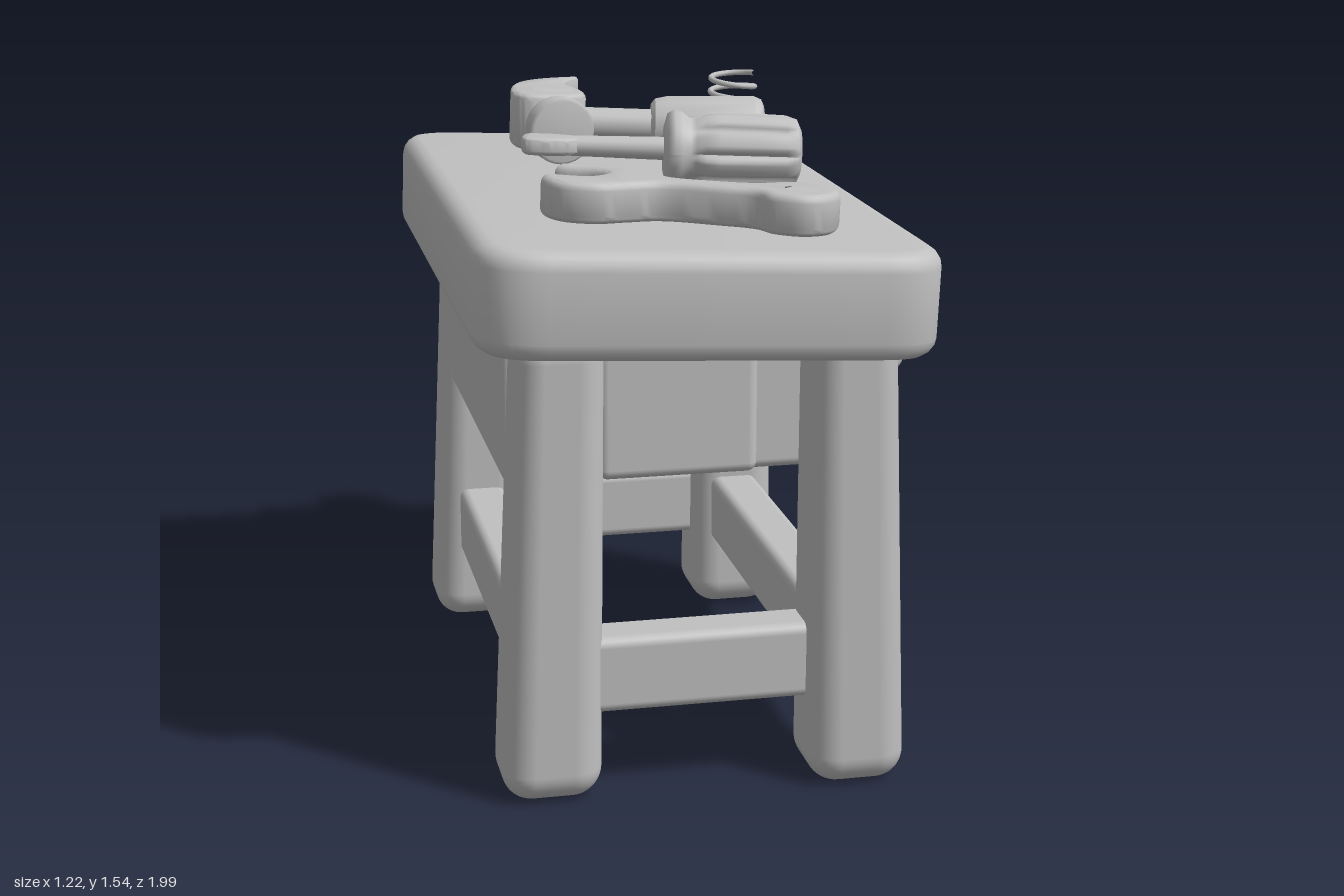
import * as THREE from 'three';
import { mergeVertices, toCreasedNormals } from 'three/addons/utils/BufferGeometryUtils.js';
import { RoundedBoxGeometry } from 'three/addons/geometries/RoundedBoxGeometry.js';

const clay = new THREE.MeshStandardMaterial({ color: 0xc0c0c0 });
clay.name = 'clay grey';

function add(parent, name, geo, x = 0, y = 0, z = 0) {
  const mesh = new THREE.Mesh(geo, clay);
  mesh.name = name;
  mesh.position.set(x, y, z);
  parent.add(mesh);
  return mesh;
}

// Rounded box given by its limits
function box(parent, name, [x0, x1], [y0, y1], [z0, z1], r = 0.025) {
  const geo = new RoundedBoxGeometry(x1 - x0, y1 - y0, z1 - z0, 4, r);
  return add(parent, name, geo, (x0 + x1) / 2, (y0 + y1) / 2, (z0 + z1) / 2);
}

// Flat part cut from a plan outline (x, -z), standing on y = 0 with rounded edges
function plate(shape, height, bevel, curveSegments = 10) {
  const geo = new THREE.ExtrudeGeometry(shape, {
    depth: height - 2 * bevel, bevelThickness: bevel, bevelSize: bevel,
    bevelOffset: -bevel, bevelSegments: 4, curveSegments,
  });
  geo.translate(0, 0, bevel).rotateX(-Math.PI / 2);
  geo.deleteAttribute('uv');
  geo.deleteAttribute('normal');
  return toCreasedNormals(mergeVertices(geo, 1e-4), 0.7);
}

// Smooth closed outline through plan points [x, z]
function outline(points, samples) {
  const curve = new THREE.CatmullRomCurve3(
    points.map(([x, z]) => new THREE.Vector3(x, -z, 0)), true, 'centripetal');
  const pts = curve.getPoints(samples).slice(0, -1).map(p => new THREE.Vector2(p.x, p.y));
  return new THREE.Shape(pts);
}

// Turned part along +x; profile is [radius, x]
function turned(profile, segments = 28) {
  const geo = new THREE.LatheGeometry(profile.map(([r, x]) => new THREE.Vector2(r, x)), segments);
  geo.rotateZ(-Math.PI / 2);
  return geo;
}

function addLeg(parent, name, [bx, bz], [tx, tz]) {
  const h = 1.16;
  const geo = new RoundedBoxGeometry(0.245, h, 0.25, 6, 0.075);
  const p = geo.attributes.position;
  for (let i = 0; i < p.count; i++) {
    const t = p.getY(i) / h + 0.5;
    const s = 1 - 0.16 * t;
    p.setX(i, p.getX(i) * s + bx + (tx - bx) * t);
    p.setZ(i, p.getZ(i) * s + bz + (tz - bz) * t);
  }
  add(parent, name, geo, 0, h / 2 + 0.01, 0);
}

function buildTabletop(parent) {
  const corners = [[-0.605, 0.95], [0.49, 0.995], [0.49, -0.75], [-0.6, -0.775]]
    .map(([x, z]) => new THREE.Vector2(x, -z));
  const shape = new THREE.Shape();
  corners.forEach((c, i) => {
    const prev = corners[(i + 3) % 4], next = corners[(i + 1) % 4];
    const a = c.clone().add(prev.clone().sub(c).setLength(0.16));
    const b = c.clone().add(next.clone().sub(c).setLength(0.16));
    if (i) shape.lineTo(a.x, a.y); else shape.moveTo(a.x, a.y);
    shape.quadraticCurveTo(c.x, c.y, b.x, b.y);
  });
  shape.closePath();
  add(parent, 'tabletop', plate(shape, 0.255, 0.045), 0, -0.255, 0);
}

function buildWrench(parent) {
  const shape = outline([
    [-0.34, 0.37], [-0.26, 0.335], [-0.16, 0.37], [-0.11, 0.45], [-0.085, 0.53], [0.0, 0.575],
    [0.1, 0.605], [0.19, 0.59], [0.265, 0.635], [0.285, 0.71], [0.245, 0.775], [0.175, 0.795],
    [0.105, 0.755], [0.08, 0.7], [0.0, 0.655], [-0.12, 0.605], [-0.2, 0.62], [-0.285, 0.64],
    [-0.365, 0.61], [-0.4, 0.53], [-0.385, 0.49], [-0.29, 0.52], [-0.235, 0.475], [-0.255, 0.42],
  ], 110);
  const hole = new THREE.Path();
  hole.absarc(0.18, -0.69, 0.046, 0, Math.PI * 2, true);
  shape.holes.push(hole);
  add(parent, 'wrench', plate(shape, 0.1, 0.02));
}

function buildScrewdriver(parent) {
  const tool = new THREE.Group();
  tool.name = 'screwdriver';
  tool.position.set(0, 0.1, 0.137);
  tool.rotation.y = -0.155;
  parent.add(tool);
  const grip = turned([[0, -0.02], [0.06, -0.02], [0.09, -0.012], [0.1, 0.005], [0.095, 0.025],
    [0.08, 0.045], [0.082, 0.06], [0.095, 0.085], [0.098, 0.12], [0.096, 0.22], [0.094, 0.29],
    [0.085, 0.318], [0.06, 0.33], [0, 0.332]], 72);
  // Lengthwise grooves in the grip
  const p = grip.attributes.position;
  for (let i = 0; i < p.count; i++) {
    if (p.getX(i) < 0.075 || p.getX(i) > 0.3) continue;
    const a = Math.atan2(p.getZ(i), p.getY(i));
    const s = 1 - 0.17 * Math.pow(Math.max(0, Math.cos(a * 8)), 3);
    p.setY(i, p.getY(i) * s);
    p.setZ(i, p.getZ(i) * s);
  }
  grip.computeVertexNormals();
  add(tool, 'screwdriver grip', grip);
  add(tool, 'screwdriver shaft', turned([[0.026, -0.27], [0.03, -0.01]], 20));
  const blade = outline([[-0.375, -0.038], [-0.375, 0.038], [-0.33, 0.05], [-0.285, 0.045],
    [-0.24, 0.024], [-0.24, -0.024], [-0.285, -0.045], [-0.33, -0.05]], 48);
  add(tool, 'screwdriver blade', plate(blade, 0.045, 0.012), 0, -0.022, 0);
}

function buildHammer(parent) {
  const hammer = new THREE.Group();
  hammer.name = 'hammer';
  parent.add(hammer);
  // Two claw prongs with a slit between them
  const claw = outline([[-0.335, -0.3], [-0.335, -0.4], [-0.3, -0.5], [-0.23, -0.575], [-0.11, -0.62],
    [-0.155, -0.54], [-0.17, -0.47], [-0.155, -0.4], [-0.155, -0.31], [-0.245, -0.29]], 60);
  for (const y of [0.035, 0.115]) add(hammer, 'hammer claw', plate(claw, 0.065, 0.012), 0, y, 0);
  const cheek = outline([[-0.34, -0.28], [-0.335, -0.38], [-0.3, -0.41], [-0.17, -0.4],
    [-0.145, -0.37], [-0.15, -0.28], [-0.18, -0.25], [-0.31, -0.24]], 48);
  add(hammer, 'hammer head', plate(cheek, 0.15, 0.018), 0, 0.03, 0);
  const poll = add(hammer, 'hammer poll', turned([[0.07, -0.02], [0.062, 0.02], [0.062, 0.04],
    [0.085, 0.062], [0.088, 0.075], [0.088, 0.12], [0.08, 0.132], [0, 0.133]]), -0.25, 0.1, -0.25);
  poll.rotation.y = -1.46;
  const handle = new THREE.Group();
  handle.name = 'hammer handle';
  handle.position.set(-0.16, 0.09, -0.335);
  handle.rotation.y = -0.16;
  hammer.add(handle);
  add(handle, 'hammer shaft', turned([[0.045, -0.02], [0.045, 0.22]]));
  add(handle, 'hammer grip', toCreasedNormals(turned([[0, 0.2], [0.062, 0.2], [0.075, 0.21],
    [0.082, 0.24], [0.09, 0.48], [0.082, 0.5], [0.065, 0.508], [0, 0.508]], 12), 0.6));
}

function buildSpring(parent) {
  const pts = [];
  for (let i = 0; i <= 100; i++) {
    const a = i / 100 * Math.PI * 2 * 5;
    pts.push(new THREE.Vector3(0.063 * Math.cos(a), 0.19 * i / 100, 0.063 * Math.sin(a)));
  }
  const geo = new THREE.TubeGeometry(new THREE.CatmullRomCurve3(pts), 200, 0.008, 8);
  add(parent, 'spring', geo, 0.335, 0.01, -0.59);
}

function buildVise(parent) {
  const vise = new THREE.Group();
  vise.name = 'vise';
  parent.add(vise);
  const x = -0.04;
  box(vise, 'vise jaw', [-0.25, 0.18], [0.9, 1.27], [-0.85, -0.735], 0.02);
  const along = (name, r, z0, z1, y) => {
    const geo = new THREE.CylinderGeometry(r, r, z1 - z0, 32).rotateX(Math.PI / 2);
    add(vise, name, geo, x, y, (z0 + z1) / 2);
  };
  along('vise screw', 0.11, -0.74, -0.34, 1.03);
  along('vise hub', 0.085, -1.0, -0.84, 1.08);
  add(vise, 'vise bar', new THREE.CylinderGeometry(0.028, 0.028, 0.54, 20), x, 0.925, -0.93);
  for (const y of [0.655, 1.195]) {
    add(vise, 'vise bar knob', new THREE.SphereGeometry(0.048, 24, 16).scale(1, 0.8, 1), x, y, -0.93);
  }
}

export function createModel() {
  const bench = new THREE.Group();
  bench.name = 'toy workbench';

  // Slightly tilted top carrying the tools
  const top = new THREE.Group();
  top.name = 'top with tools';
  top.position.y = 1.355;
  top.rotation.z = -0.041;
  bench.add(top);
  buildTabletop(top);
  buildWrench(top);
  buildScrewdriver(top);
  buildHammer(top);
  buildSpring(top);

  // Splayed legs
  addLeg(bench, 'front right leg', [-0.437, 0.76], [-0.405, 0.77]);
  addLeg(bench, 'front left leg', [0.307, 0.805], [0.293, 0.785]);
  addLeg(bench, 'back left leg', [0.307, -0.485], [0.297, -0.485]);
  addLeg(bench, 'back right leg', [-0.437, -0.53], [-0.405, -0.5]);

  // Stretchers
  for (const x of [-0.425, 0.3]) box(bench, 'side stretcher', [x - 0.065, x + 0.065], [0.215, 0.405], [-0.5, 0.78]);
  for (const z of [-0.5, 0.78]) box(bench, 'end stretcher', [-0.42, 0.3], [0.22, 0.41], [z - 0.065, z + 0.065]);

  // Cabinet with drawer
  box(bench, 'cabinet', [-0.515, 0.42], [0.74, 1.12], [-0.355, 0.63]);
  box(bench, 'end panel', [-0.285, 0.11], [0.74, 1.09], [0.58, 0.655]);
  box(bench, 'drawer front', [0.36, 0.45], [0.73, 1.07], [-0.365, 0.64], 0.03);
  const bend = new THREE.CatmullRomCurve3([[0.42, -0.06], [0.51, -0.06], [0.55, -0.04], [0.557, 0.02],
    [0.557, 0.2], [0.55, 0.26], [0.51, 0.28], [0.42, 0.28]].map(([x, z]) => new THREE.Vector3(x, 0.91, z)));
  add(bench, 'drawer handle', new THREE.TubeGeometry(bend, 48, 0.045, 16));

  buildVise(bench);
  return bench;
}
